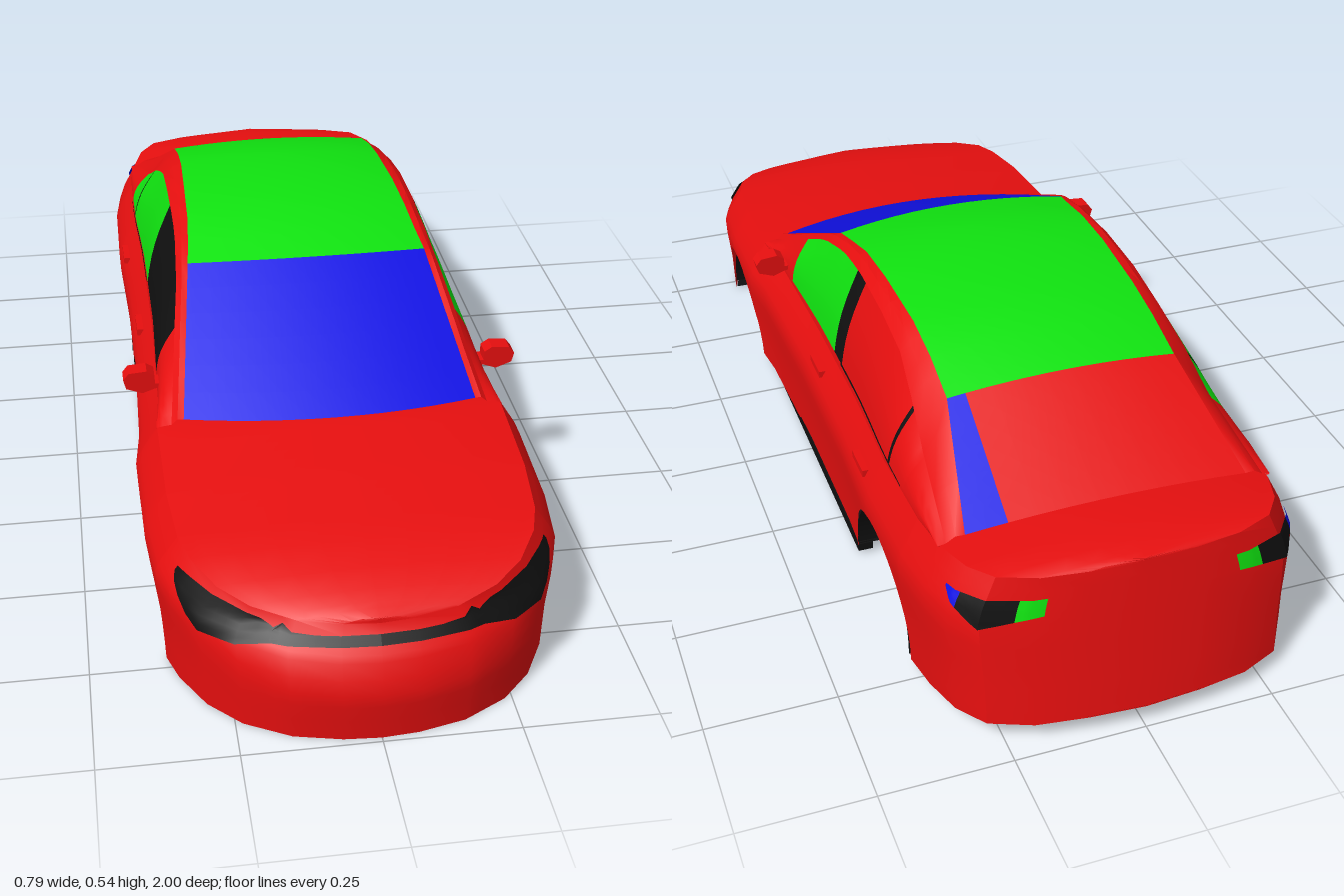
import * as THREE from 'three';
import { toCreasedNormals } from 'three/addons/utils/BufferGeometryUtils.js';

const paint = (name, color) => new THREE.MeshStandardMaterial({ name, color, side: THREE.DoubleSide });

// Linear lookup in a table of [z, value], z descending
const table = (rows) => (z) => {
  if (z >= rows[0][0]) return rows[0][1];
  for (let i = 1; i < rows.length; i++) {
    const [za, a] = rows[i - 1], [zb, b] = rows[i];
    if (z >= zb) return a + (b - a) * (za - z) / (za - zb);
  }
  return rows[rows.length - 1][1];
};
const range = (a, b, n) => Array.from({ length: n + 1 }, (_, i) => a + (b - a) * i / n);

// Surface patch: fn(u, v) gives a point for each pair of the two lists
function patch(name, mat, us, vs, fn) {
  const pos = [], idx = [], n = vs.length;
  us.forEach((u) => vs.forEach((v) => pos.push(...fn(u, v))));
  for (let i = 0; i < us.length - 1; i++) for (let j = 0; j < n - 1; j++) {
    const a = i * n + j, b = a + 1, c = a + n, d = c + 1;
    idx.push(a, b, c, b, d, c);
  }
  const g = new THREE.BufferGeometry();
  g.setAttribute('position', new THREE.Float32BufferAttribute(pos, 3));
  g.setIndex(idx);
  const mesh = new THREE.Mesh(toCreasedNormals(g, 0.5), mat);
  mesh.name = name;
  return mesh;
}

// Body curves along the length
const outline = [[.99, 0], [.985, .07], [.965, .16], [.92, .245], [.86, .305], [.78, .35], [.72, .37],
  [.6, .382], [.4, .384], [.3, .372], [0, .362], [-.3, .362], [-.5, .37], [-.7, .366], [-.8, .352],
  [-.88, .33], [-.94, .29], [-.975, .21], [-.99, .11], [-.998, 0]];
const width = table(outline);
const shoulderY = table([[.99, .212], [.92, .232], [.8, .26], [.6, .283], [.4, .3], [0, .305], [-.5, .318],
  [-.8, .335], [-.93, .345], [-.998, .345]]);
const centreY = table([[.99, .222], [.92, .245], [.8, .27], [.6, .297], [.44, .315], [0, .32], [-.6, .345],
  [-.78, .36], [-.93, .36], [-.998, .352]]);
const bottomY = table([[.722, 0], [.371, .022], [-.38, .025], [-.72, .02], [-.998, .048]]);
const flank = table([[1, .885], [.84, .965], [.74, 1], [.6, .995], [.35, .975], [0, .965]]);
const noseLean = table([[.3, .055], [.21, .05], [.16, .012], [.1, -.01], [0, 0]]);
const arches = [{ z: .546, y: .02, r: .175 }, { z: -.55, y: .035, r: .17 }];

const lean = (z, y) => {
  if (z > .8) return z - (z - .8) / .19 * noseLean(y);
  if (z < -.8) return z + (-.8 - z) / .198 * .045 * Math.max(0, y - .05) / .3;
  return z;
};
const lowerEdge = (z) => {
  let y = bottomY(z);
  for (const a of arches) {
    const d = a.r ** 2 - (z - a.z) ** 2;
    if (d > 0) y = Math.max(y, a.y + Math.sqrt(d));
  }
  return y;
};
const sidePoint = (z, y) => [width(z) * flank(y / shoulderY(z)), y, lean(z, y)];
const deckPoint = (z, s) => {
  const y = shoulderY(z);
  return [width(z) * .885 * s, y + (centreY(z) - y) * (1 - s * s), lean(z, y)];
};

// Cabin curves: roof centre, inner rail (glass edge) and outer rail (top of side windows)
const roofY = table([[.4, .322], [.07, .495], [0, .515], [-.08, .532], [-.2, .54], [-.36, .534], [-.46, .518],
  [-.56, .487], [-.79, .36]]);
const railX = table([[.4, .288], [.07, .247], [-.05, .235], [-.4, .223], [-.56, .225], [-.79, .27]]);
const railY = table([[.4, .315], [.07, .485], [-.08, .519], [-.2, .526], [-.36, .52], [-.46, .503], [-.56, .474],
  [-.79, .348]]);
const outerX = table([[.4, .312], [.2, .287], [.1, .274], [-.05, .264], [-.4, .264], [-.56, .28], [-.79, .305]]);
const outerY = table([[.4, .305], [.3, .352], [.2, .408], [.1, .458], [-.02, .493], [-.14, .506], [-.28, .503],
  [-.4, .485], [-.5, .448], [-.6, .395], [-.79, .338]]);
const glassBow = table([[.4, .045], [.07, .025], [-.2, 0]]);

const topPoint = (z, x) => {
  const s = 1 - (x / railX(z)) ** 2;
  return [x, railY(z) + (roofY(z) - railY(z)) * s, z + glassBow(z) * s];
};
const cabinSide = (z, v) => {
  const x = width(z) * .89, y = shoulderY(z) - .002;
  return [x + (outerX(z) - x) * v + .01 * Math.sin(Math.PI * v), y + (outerY(z) - y) * v, z];
};

export function createModel() {
  const car = new THREE.Group();
  car.name = 'sedanBody';
  const red = paint('bodyRed', 0xee1010), green = paint('glassGreen', 0x10e410);
  const blue = paint('glassBlue', 0x1010e6), black = paint('trimBlack', 0x101010);
  const add = (...a) => { const m = patch(...a); car.add(m); return m; };
  const mirror = (mesh) => { const m = mesh.clone(); m.scale.x = -1; car.add(m); };
  const both = (...a) => mirror(add(...a));

  // Stations along the car, dense around the wheel arches
  const stations = outline.map((p) => p[0]);
  for (const a of arches) for (let i = 0; i <= 20; i++) stations.push(a.z + a.r * Math.cos(Math.PI * i / 20));
  stations.push(.95, .2, .1, -.1, -.2);
  stations.sort((a, b) => b - a);

  // Painted shell: flank, deck, other flank
  const flankRows = [0, .2, .35, .48, .6, .74, .79, .84, .92, 1];
  const deckRows = [.9, .75, .5, .25, 0];
  const half = [...flankRows.map((u) => ({ u })), ...deckRows.map((s) => ({ s }))];
  const section = [...half.map((r) => ({ ...r, m: 1 })), ...half.slice(0, -1).reverse().map((r) => ({ ...r, m: -1 }))];
  add('bodyShell', red, stations, section, (z, r) => {
    const p = r.s === undefined ? sidePoint(z, Math.max(r.u * shoulderY(z), lowerEdge(z))) : deckPoint(z, r.s);
    return [p[0] * r.m, p[1], p[2]];
  });

  // Floor, narrowed between the wheels
  const floorZ = [...stations];
  for (const a of arches) floorZ.push(a.z + a.r + .001, a.z - a.r - .001);
  floorZ.sort((a, b) => b - a);
  add('floor', black, floorZ, [-1, 1], (z, s) => {
    const inArch = arches.some((a) => Math.abs(z - a.z) <= a.r + 1e-6);
    return [s * (inArch ? .2 : width(z) * .96), bottomY(z) + .002, lean(z, 0)];
  });

  // Wheel wells
  for (const a of arches) for (const s of [1, -1]) {
    const well = new THREE.Group();
    well.name = 'wheelWell';
    const arch = new THREE.Mesh(new THREE.CylinderGeometry(a.r, a.r, .155, 24, 1, true, 0, Math.PI), black);
    arch.rotation.z = Math.PI / 2;
    const wall = new THREE.Mesh(new THREE.CircleGeometry(a.r, 24, 0, Math.PI), black);
    wall.rotation.y = Math.PI / 2;
    wall.position.x = -s * .0775;
    well.add(arch, wall);
    well.position.set(s * .2775, a.y, a.z);
    car.add(well);
  }

  // Sill trim
  for (const s of [1, -1]) {
    const sill = new THREE.Mesh(new THREE.BoxGeometry(.03, .022, .745), black);
    sill.name = 'sill';
    sill.position.set(s * .338, .019, -.004);
    car.add(sill);
  }

  // Windscreen, roof and two-tone rear window
  const across = range(-1, 1, 12);
  const onTop = (z, s) => topPoint(z, s * railX(z));
  add('windscreen', blue, range(.4, .07, 6), across, onTop);
  add('roof', green, [.07, 0, -.08, -.14, -.2, -.28, -.36, -.46, -.56], across, onTop);
  const rearZ = range(-.56, -.79, 5);
  add('rearWindow', red, rearZ, range(0, 1, 8), (z, t) => topPoint(z, -railX(z) + (railX(z) + .19) * t));
  add('rearWindowStrip', blue, rearZ, [0, .5, 1], (z, t) => topPoint(z, .19 + (railX(z) - .19) * t));

  // Pillars and roof rails
  const cabinZ = [.4, .3, .2, .1, .07, -.02, -.08, -.14, -.2, -.28, -.36, -.4, -.46, -.5, -.56, -.6, -.7, -.79];
  both('roofRail', red, cabinZ, [0, .5, 1], (z, t) => [
    outerX(z) + (railX(z) - outerX(z)) * t, outerY(z) + (railY(z) - outerY(z)) * t + .006 * Math.sin(Math.PI * t), z]);
  both('windowLedge', red, cabinZ, [0, .08], cabinSide);

  // Side windows: [name, front, rear, left colour, right colour]
  const panes = [['frontPillar', .4, .2, red, red], ['frontWindow', .2, -.12, green, black],
    ['middlePillar', -.12, -.175, black, black], ['rearWindowSide', -.175, -.515, red, green],
    ['rearDivider', -.515, -.525, black, black], ['quarterWindow', -.525, -.61, red, green],
    ['rearPillar', -.61, -.79, red, red]];
  const rise = range(.08, 1, 6);
  for (const [name, a, b, left, right] of panes) {
    const zs = range(a, b, 8);
    add(name, left, zs, rise, cabinSide);
    add(name, right, zs, rise, (z, v) => { const p = cabinSide(z, v); return [-p[0], p[1], p[2]]; });
  }
  // Thin seal below the rear side windows
  both('windowSeal', black, range(-.175, -.6, 6), [.08, .11], (z, v) => {
    const p = cabinSide(z, v);
    return [p[0] + .003, p[1] + .002, p[2]];
  });

  // Plates lying just off the flank, between two height curves
  const plate = (lo, hi) => (z, t) => {
    const p = sidePoint(z, lo(z) + (hi(z) - lo(z)) * t);
    return [p[0] === 0 ? 0 : p[0] + .004, p[1], p[2] + Math.sign(z) * .005];
  };
  const steps = range(0, 1, 5);
  both('headlight', black, [.955, .945, .935, .92, .9, .88, .86, .83, .8, .78, .765], steps, plate(
    table([[.955, .185], [.92, .172], .86 && [.86, .168], [.82, .19], [.765, .235]]),
    table([[.955, .2], [.93, .222], [.86, .236], [.79, .246], [.765, .244]])));
  both('grille', black, [.99, .985, .975, .965, .955, .948], steps, plate(
    table([[.99, .183], [.948, .183]]), table([[.99, .199], [.968, .199], [.955, .215], [.948, .205]])));

  // Tail lamps in three colours
  const lampLo = table([[-.85, .296], [-.89, .272], [-.94, .25], [-.98, .275]]);
  const lampHi = table([[-.85, .3], [-.98, .308]]);
  both('tailLampInner', green, [-.965, -.97, -.975, -.979], steps, plate(lampLo, lampHi));
  both('tailLamp', black, [-.89, -.91, -.925, -.94, -.955, -.965], steps, plate(lampLo, lampHi));
  both('tailLampSide', blue, [-.85, -.87, -.88, -.89], steps, plate(lampLo, lampHi));

  // Door mirrors
  const shape = new THREE.Shape([[.318, .318], [.335, .315], [.36, .306], [.392, .318], [.397, .338], [.386, .352],
    [.35, .355], [.335, .345], [.334, .326], [.318, .326]].map((p) => new THREE.Vector2(...p)));
  const wing = new THREE.Mesh(new THREE.ExtrudeGeometry(shape, { depth: .035, bevelEnabled: false }), red);
  wing.name = 'doorMirror';
  wing.position.z = .24;
  car.add(wing);
  mirror(wing);
  wing.parent.children[wing.parent.children.length - 1].position.z = .24;

  // Door handles
  for (const z of [-.08, -.43]) for (const s of [1, -1]) {
    const handle = new THREE.Mesh(new THREE.BoxGeometry(.014, .014, .07), red);
    handle.name = 'doorHandle';
    handle.position.set(s * (sidePoint(z, .268)[0] + .003), .268, z);
    car.add(handle);
  }
  return car;
}
